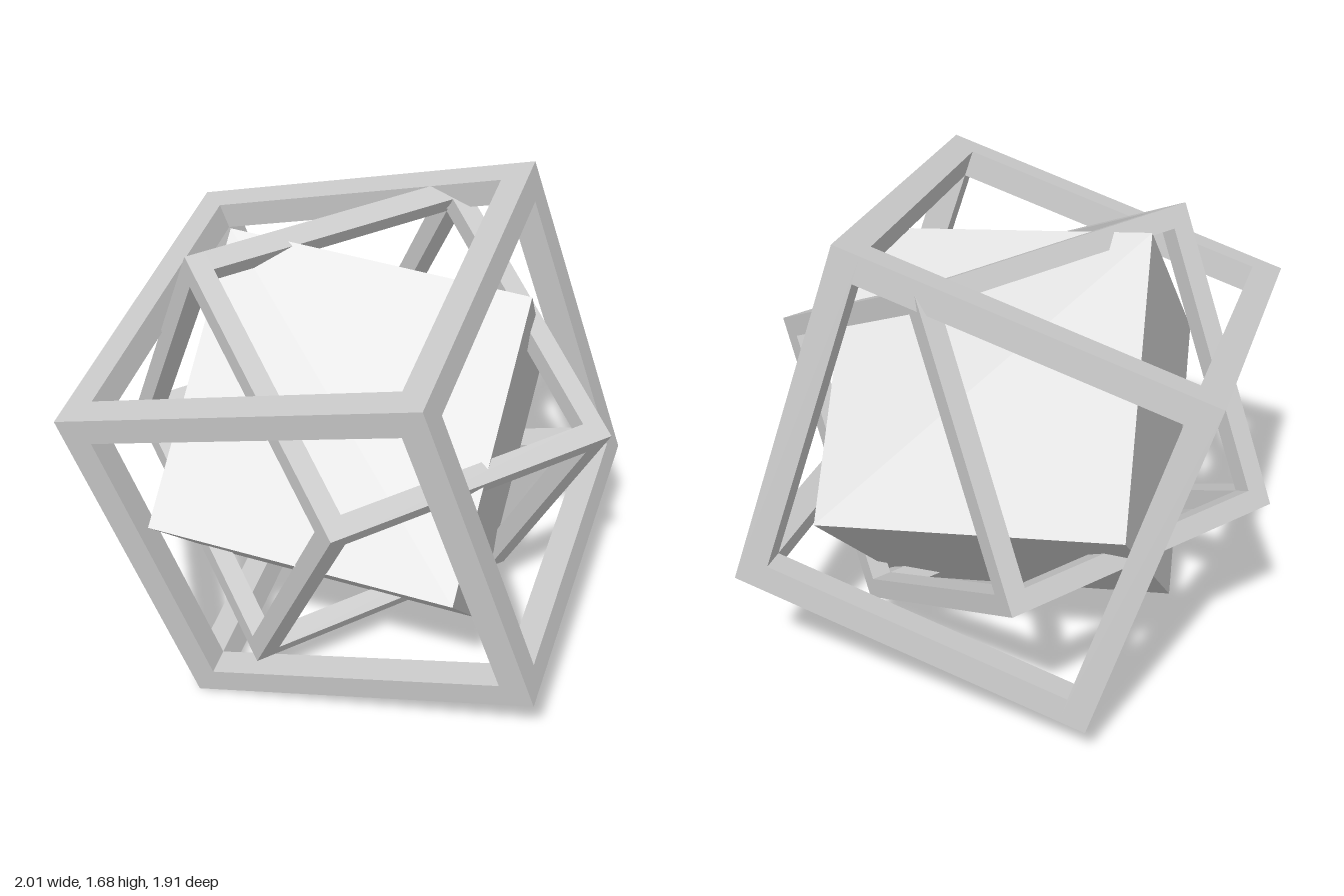
import * as THREE from 'three';

const material = new THREE.MeshStandardMaterial({ color: 0xcccccc, flatShading: true });

// Turn an object so its local x and y follow the given directions
function place(object, x, y, position) {
  const ax = new THREE.Vector3(...x).normalize();
  const az = new THREE.Vector3().crossVectors(ax, new THREE.Vector3(...y)).normalize();
  const ay = new THREE.Vector3().crossVectors(az, ax);
  object.quaternion.setFromRotationMatrix(new THREE.Matrix4().makeBasis(ax, ay, az));
  object.position.set(...position);
  return object;
}

// Open cube made of twelve square bars
function cubeFrame(name, size, bar) {
  const frame = new THREE.Group();
  frame.name = name;
  const offset = (size - bar) / 2;
  const inner = size - 2 * bar;
  const bars = {
    xBar: [inner, bar, bar],
    post: [bar, size, bar],
    zBar: [bar, bar, inner],
  };
  Object.entries(bars).forEach(([barName, dims], axis) => {
    const geometry = new THREE.BoxGeometry(...dims);
    for (const s of [-1, 1]) {
      for (const t of [-1, 1]) {
        const mesh = new THREE.Mesh(geometry, material);
        mesh.name = barName;
        mesh.position.setComponent((axis + 1) % 3, s * offset);
        mesh.position.setComponent((axis + 2) % 3, t * offset);
        frame.add(mesh);
      }
    }
  });
  return frame;
}

export function createModel() {
  const model = new THREE.Group();
  model.name = 'nestedCubes';

  // Large tilted frame standing on one corner
  model.add(place(cubeFrame('outerFrame', 1.24, 0.093),
    [0.766, 0.119, -0.637], [-0.27, 0.952, -0.145], [0, 0.836, 0]));

  // Smaller frame, leaning forward
  model.add(place(cubeFrame('innerFrame', 1.02, 0.069),
    [1, -0.014, 0.008], [0.0085, 0.875, 0.484], [-0.003, 0.88, -0.017]));

  // Solid cube poking through the inner frame
  const core = new THREE.Mesh(new THREE.BoxGeometry(0.98, 0.98, 0.98), material);
  core.name = 'solidCube';
  model.add(place(core, [0.55, 0.69, -0.42], [-0.485, 0.69, 0.52], [0, 0.836, 0]));

  return model;
}
